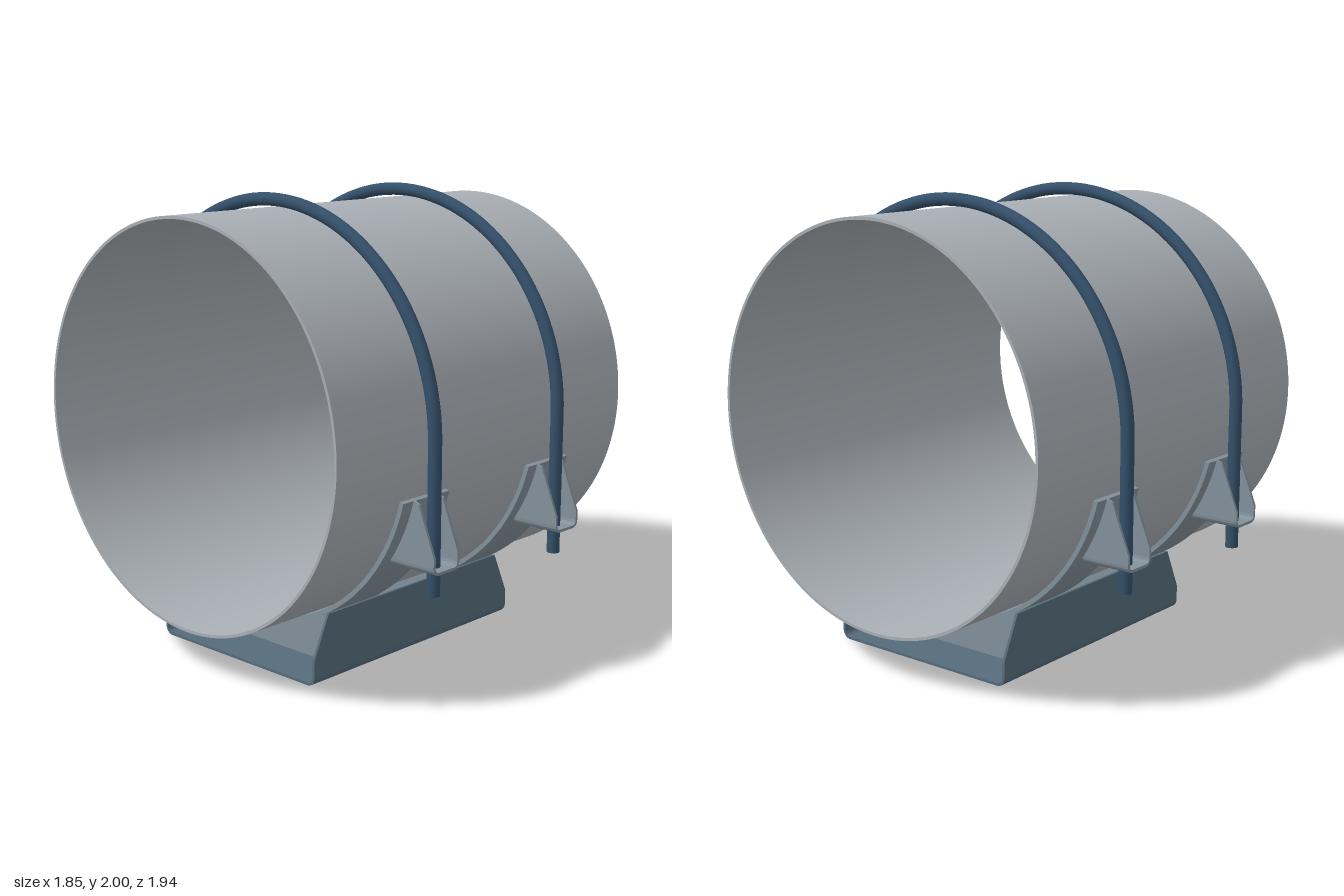
import * as THREE from 'three';
import { toCreasedNormals } from 'three/addons/utils/BufferGeometryUtils.js';

const CY = 1.0675;                       // height of the pipe axis
const PIPE_R = 0.8675, BAND_IN = 0.873, BAND_OUT = 0.893;
const ROD_X = 0.405, ROD_R = 0.028, ROD_ARC = 0.9045;

const material = (color) => new THREE.MeshStandardMaterial({ color });

// Extrude a shape by depth, centred on its own plane
function slab(shape, depth, curveSegments = 24) {
  const g = new THREE.ExtrudeGeometry(shape, { depth, bevelEnabled: false, curveSegments });
  return toCreasedNormals(g.translate(0, 0, -depth / 2), 0.5);
}

// Same, but the shape is drawn in (z, y) and the depth runs along x
const slabX = (shape, depth, segments) => slab(shape, depth, segments).rotateY(-Math.PI / 2);

// Shallow U section standing on y = 0, with rounded bottom corners
function uSection(halfWidth, height, t, r) {
  const s = new THREE.Shape();
  const w = halfWidth, i = w - t, q = r - t;
  s.moveTo(-w, height);
  s.lineTo(-w, r);
  s.absarc(-w + r, r, r, Math.PI, Math.PI * 1.5, false);
  s.absarc(w - r, r, r, -Math.PI / 2, 0, false);
  s.lineTo(w, height);
  s.lineTo(i, height);
  s.absarc(w - r, r, q, 0, -Math.PI / 2, true);
  s.absarc(-w + r, r, q, Math.PI * 1.5, Math.PI, true);
  s.lineTo(-i, height);
  s.closePath();
  return s;
}

const polygon = (points) => new THREE.Shape(points.map(([x, y]) => new THREE.Vector2(x, y)));

// Angle below the horizontal at which a radius reaches height y
const angleAt = (y, r) => Math.asin((y - CY) / r);

export function createModel() {
  const model = new THREE.Group();
  const pipeMat = material(0xaab0b6);
  const rodMat = material(0x34506a);
  const baseMat = material(0x566c7b);
  const plateMat = material(0x84929c);

  function add(name, geometry, mat, parent = model) {
    const mesh = new THREE.Mesh(geometry, mat);
    mesh.name = name;
    parent.add(mesh);
    return mesh;
  }

  // Thin-walled pipe
  const ring = new THREE.Shape().absarc(0, 0, PIPE_R, 0, Math.PI * 2, false);
  ring.holes.push(new THREE.Path().absarc(0, 0, PIPE_R - 0.013, 0, Math.PI * 2, true));
  add('pipe', slabX(ring, 1.85, 96), pipeMat).position.y = CY;

  // Base channel: rounded tray plus two tapered side walls
  const base = new THREE.Group();
  base.name = 'baseChannel';
  model.add(base);
  add('baseTray', slabX(uSection(0.47, 0.05, 0.012, 0.04), 1.284, 8), baseMat, base);
  const wall = polygon([
    [-0.642, 0.05], [0.642, 0.05], [0.642, 0.11], [0.555, 0.3], [-0.555, 0.3], [-0.642, 0.11],
  ]);
  for (const side of [-1, 1]) {
    add('baseWall', slab(wall, 0.012), baseMat, base).position.z = side * 0.464;
  }

  // Saddle band section, running under the pipe from side to side
  const a = angleAt(0.845, BAND_OUT);
  const band = new THREE.Shape();
  band.absarc(0, CY, BAND_OUT, -Math.PI - a, a, false);
  band.absarc(0, CY, BAND_IN, a, -Math.PI - a, true);
  band.closePath();

  // Web plate inside the channel, cut to the underside of the band
  const web = new THREE.Shape();
  const w = angleAt(0.301, BAND_OUT);
  web.moveTo(-0.458, 0.04);
  web.lineTo(-0.43, 0.012);
  web.lineTo(0.43, 0.012);
  web.lineTo(0.458, 0.04);
  web.absarc(0, CY, BAND_OUT, w, -Math.PI - w, true);
  web.closePath();

  // Bracket cheek, its inner edge following the band
  const cheek = new THREE.Shape();
  cheek.moveTo(0.972, 0.59);
  cheek.lineTo(0.972, 0.63);
  cheek.lineTo(0.89, 0.835);
  cheek.absarc(0, CY, BAND_OUT, angleAt(0.845, BAND_OUT), angleAt(0.59, BAND_OUT), true);
  cheek.closePath();
  const cheekGeo = slabX(cheek, 0.012);
  const seatGeo = slab(uSection(0.079, 0.035, 0.012, 0.03), 0.224, 8);

  for (const x of [-ROD_X, ROD_X]) {
    const clamp = new THREE.Group();
    clamp.name = x > 0 ? 'leftClamp' : 'rightClamp';
    clamp.position.x = x;
    model.add(clamp);

    add('saddleBand', slabX(band, 0.28, 72), plateMat, clamp);
    add('webPlate', slabX(web, 0.02, 40), plateMat, clamp);

    // U-bolt arch
    const arch = new THREE.TorusGeometry(ROD_ARC, ROD_R, 16, 72, Math.PI).rotateY(Math.PI / 2);
    add('boltArch', arch, rodMat, clamp).position.y = CY;

    // Bolt leg and bracket on the front and back
    for (const turn of [0, Math.PI]) {
      const side = new THREE.Group();
      side.name = turn ? 'backBracket' : 'frontBracket';
      side.rotation.y = turn;
      clamp.add(side);

      const legLength = CY - 0.445;
      const leg = new THREE.CylinderGeometry(ROD_R, ROD_R, legLength, 16);
      add('boltLeg', leg, rodMat, side).position.set(0, 0.445 + legLength / 2, ROD_ARC);

      add('bracketSeat', seatGeo, plateMat, side).position.set(0, 0.555, 0.86);
      for (const s of [-1, 1]) {
        add('bracketCheek', cheekGeo, plateMat, side).position.x = s * 0.073;
      }
    }
  }
  return model;
}
